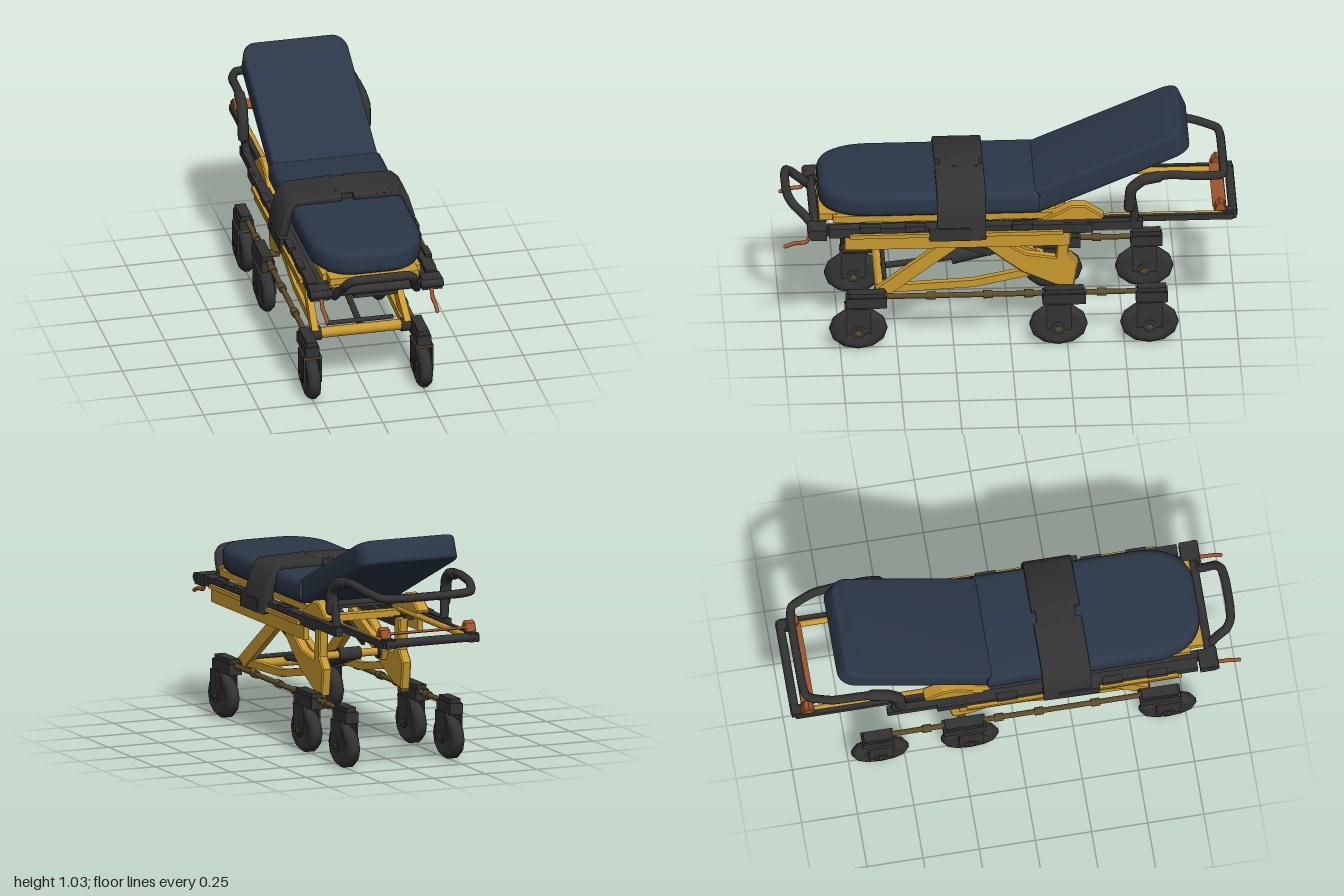
import * as THREE from 'three';
import { toCreasedNormals } from 'three/addons/utils/BufferGeometryUtils.js';

const mat = (name, color) => Object.assign(new THREE.MeshStandardMaterial({ color }), { name });
const V = (p) => new THREE.Vector3(...p);

export function createModel() {
  const navy = mat('navy upholstery', 0x2b3748), dark = mat('dark plastic', 0x333333);
  const yellow = mat('yellow frame', 0xc8992e), orange = mat('rust lever', 0xa0562c);
  const bronze = mat('bronze rail', 0x5e4c28);
  const model = new THREE.Group();
  model.name = 'stretcher';

  const add = (name, geo, m, parent = model) => {
    const mesh = new THREE.Mesh(geo, m);
    mesh.name = name;
    parent.add(mesh);
    return mesh;
  };
  // Box from its centre and size
  const box = (name, m, c, s, parent) => add(name, new THREE.BoxGeometry(...s).translate(...c), m, parent);
  // Round rod between two points
  const rod = (name, m, a, b, r, parent) => {
    const A = V(a), B = V(b), d = B.clone().sub(A);
    const geo = new THREE.CylinderGeometry(r, r, d.length(), 12);
    geo.applyQuaternion(new THREE.Quaternion().setFromUnitVectors(V([0, 1, 0]), d.normalize()));
    return add(name, geo.translate(...A.add(B).multiplyScalar(0.5).toArray()), m, parent);
  };
  // Rectangular beam between two points
  const beam = (name, m, a, b, w, h) => {
    const A = V(a), B = V(b);
    const geo = new THREE.BoxGeometry(w, h, A.distanceTo(B));
    geo.applyMatrix4(new THREE.Matrix4().lookAt(A, B, V([0, 1, 0])));
    return add(name, geo.translate(...A.add(B).multiplyScalar(0.5).toArray()), m);
  };
  // Smooth bent tube with closed ends
  const tube = (name, m, pts, r) => {
    const curve = new THREE.CatmullRomCurve3(pts.map(V), false, 'catmullrom', 0.25);
    add(name, new THREE.TubeGeometry(curve, pts.length * 8, r, 10), m);
    for (const p of [pts[0], pts[pts.length - 1]])
      add(name + ' cap', new THREE.SphereGeometry(r, 10, 6).translate(...p), m);
  };
  // Side profile of (z, y) points, extruded across x
  const sideProfile = (name, m, pts, x, w, bevel = 0.006) => {
    const shape = new THREE.Shape(pts.map((p) => new THREE.Vector2(...p)));
    const geo = new THREE.ExtrudeGeometry(shape, { depth: w - 2 * bevel, bevelSize: bevel, bevelThickness: bevel, bevelOffset: -bevel, bevelSegments: 1 });
    add(name, geo.rotateY(-Math.PI / 2).translate(x + w / 2 - bevel, 0, 0), m);
  };
  const both = (fn) => [-1, 1].forEach(fn);

  // Cushion: plan with rounded far corners, lying flat with its far end along -z
  const cushion = (hw, len, rx, ry, thick, b) => {
    const w = hw - b, l = len - b, s = new THREE.Shape();
    s.moveTo(-w, b);
    s.lineTo(w, b);
    s.lineTo(w, l - ry);
    s.bezierCurveTo(w, l - ry * 0.4, w - rx * 0.4, l, w - rx, l);
    s.lineTo(-w + rx, l);
    s.bezierCurveTo(-w + rx * 0.4, l, -w, l - ry * 0.4, -w, l - ry);
    const geo = new THREE.ExtrudeGeometry(s, { depth: thick - 2 * b, bevelSize: b, bevelThickness: b, bevelSegments: 4, curveSegments: 10 });
    return toCreasedNormals(geo.translate(0, 0, b).rotateX(-Math.PI / 2), 0.7);
  };
  const seat = cushion(0.252, 0.97, 0.14, 0.2, 0.115, 0.035);
  add('seatCushion', seat.rotateY(Math.PI).translate(0, 0.645, -0.13), navy);
  const back = add('backCushion', cushion(0.236, 0.735, 0.05, 0.07, 0.11, 0.016), navy);
  back.rotation.x = 0.41;
  back.position.set(0, 0.643, -0.12);

  // Belt: two padded halves, draped over the cushion and joined by a buckle
  const strap = (name, pts, z0, z1) => {
    const s = new THREE.Shape(pts.map((p) => new THREE.Vector2(...p)));
    const geo = new THREE.ExtrudeGeometry(s, { depth: z1 - z0 - 0.016, bevelSize: 0.004, bevelThickness: 0.008, bevelSegments: 2 });
    add(name, toCreasedNormals(geo.translate(0, 0, z0 + 0.008), 0.8), dark);
  };
  both((s) => {
    const pts = [[0.03, 0.762], [0.22, 0.76], [0.25, 0.74], [0.262, 0.68], [0.285, 0.57], [0.31, 0.565], [0.3, 0.65], [0.272, 0.745], [0.24, 0.775], [0.03, 0.783]];
    const side = pts.map(([x, y]) => [s * x, y]);
    strap('beltPad', s > 0 ? side : side.reverse(), 0.11, 0.325);
    box('beltTongue', dark, [s * 0.3, 0.59, 0.27], [0.03, 0.06, 0.18]);
  });
  box('beltBuckle', dark, [0, 0.774, 0.215], [0.085, 0.026, 0.175]);

  // Bed frame
  box('deck', dark, [0, 0.628, 0.28], [0.36, 0.016, 0.9]);
  box('frontDeckEdge', yellow, [0, 0.632, 0.8], [0.4, 0.03, 0.08]);
  both((s) => {
    box('deckRail', yellow, [s * 0.207, 0.628, 0.27], [0.03, 0.03, 1.02]);
    box('sideRail', dark, [s * 0.268, 0.597, 0.22], [0.05, 0.044, 1.16]);
    box('innerRail', dark, [s * 0.222, 0.58, 0.28], [0.04, 0.04, 1.08]);
    box('sideBeam', yellow, [s * 0.275, 0.542, 0.235], [0.024, 0.062, 0.99]);
    box('sideTrim', yellow, [s * 0.3, 0.585, 0.24], [0.016, 0.018, 0.94]);
    box('slideTrack', dark, [s * 0.185, 0.552, 0.25], [0.03, 0.045, 0.95]);
    for (const z of [0.62, 0.42, -0.05]) box('railClamp', dark, [s * 0.285, 0.615, z], [0.03, 0.028, 0.09]);
    // Hinge bracket beside the backrest
    sideProfile('hingeBracket', yellow, [[-0.12, 0.6], [-0.2, 0.65], [-0.27, 0.688], [-0.33, 0.685], [-0.41, 0.63], [-0.4, 0.605], [-0.24, 0.585]], s * 0.222, 0.06);
    // Rear extension
    rod('rearRail', yellow, [s * 0.2, 0.605, -0.2], [s * 0.2, 0.605, -0.97], 0.014);
    box('rearRailCover', dark, [s * 0.222, 0.606, -0.6], [0.02, 0.028, 0.76]);
    box('rearCorner', dark, [s * 0.2, 0.612, -0.965], [0.045, 0.04, 0.06]);
    sideProfile('releaseCatch', orange, [[-0.895, 0.632], [-0.905, 0.662], [-0.92, 0.678], [-0.94, 0.668], [-0.952, 0.632]], s * 0.205, 0.05, 0.004);
    // Front corner, grip and release lever
    box('frontCorner', dark, [s * 0.253, 0.592, 0.845], [0.09, 0.05, 0.07]);
    rod('frontGrip', dark, [s * 0.2, 0.597, 0.875], [s * 0.3, 0.597, 0.875], 0.02);
    tube('releaseLever', orange, [[s * 0.248, 0.58, 0.87], [s * 0.248, 0.535, 0.9], [s * 0.248, 0.53, 0.95], [s * 0.248, 0.515, 0.99]], 0.009);
    // Swing armrest pad
    tube('armrestPad', dark, [[s * 0.275, 0.69, -0.52], [s * 0.276, 0.78, -0.53], [s * 0.268, 0.82, -0.58], [s * 0.262, 0.832, -0.65]], 0.025);
    box('armrestMount', dark, [s * 0.262, 0.6, -0.4], [0.034, 0.04, 0.36]);
  });
  rod('frontBar', dark, [-0.22, 0.594, 0.86], [0.22, 0.594, 0.86], 0.02);
  box('frontLatch', dark, [0, 0.568, 0.83], [0.2, 0.03, 0.06]);
  box('frontCrossbeam', yellow, [0, 0.557, 0.74], [0.36, 0.04, 0.05]);
  for (const z of [0.42, 0.16, -0.18]) box('crossMember', z > 0 ? dark : yellow, [0, 0.585, z], [0.44, 0.03, 0.05]);
  rod('rearBar', dark, [-0.215, 0.613, -0.98], [0.215, 0.613, -0.98], 0.02);
  const tray = box('rearRelease', orange, [0, 0, 0], [0.38, 0.01, 0.06]);
  tray.position.set(0, 0.645, -0.92);
  tray.rotation.x = 0.25;

  // Front bumper handle and rear push handle
  const arch = (pts) => [...pts.map(([x, y, z]) => [-x, y, z]), ...pts.slice().reverse()];
  tube('frontHandle', dark, arch([[0.185, 0.575, 0.86], [0.165, 0.62, 0.9], [0.15, 0.67, 0.95], [0.12, 0.695, 0.972], [0.06, 0.7, 0.98]]), 0.02);
  tube('rearHandle', dark, arch([[0.255, 0.6, -0.3], [0.255, 0.602, -0.51], [0.26, 0.63, -0.545], [0.268, 0.76, -0.53], [0.264, 0.82, -0.58],
    [0.262, 0.84, -0.7], [0.255, 0.828, -0.82], [0.215, 0.808, -0.925], [0.14, 0.803, -0.94]]), 0.019);

  // Folding legs
  both((s) => {
    beam('frontLeg', yellow, [s * 0.208, 0.25, 0.575], [s * 0.185, 0.555, 0.16], 0.03, 0.06);
    beam('innerLeg', yellow, [s * 0.158, 0.53, 0.22], [s * 0.158, 0.39, -0.14], 0.03, 0.05);
    sideProfile('rearLeg', yellow, [[0.2, 0.55], [0.12, 0.55], [-0.07, 0.43], [-0.2, 0.41], [-0.215, 0.57], [-0.265, 0.57], [-0.257, 0.43],
      [-0.3, 0.38], [-0.28, 0.26], [-0.2, 0.27], [-0.05, 0.34], [0.04, 0.41]], s * 0.192, 0.045);
    beam('lowerArm', yellow, [s * 0.195, 0.265, 0.56], [s * 0.195, 0.285, 0.15], 0.028, 0.034);
    beam('lowerArmEnd', yellow, [s * 0.195, 0.285, 0.16], [s * 0.19, 0.34, -0.12], 0.028, 0.034);
    beam('slideLink', dark, [s * 0.155, 0.52, 0.4], [s * 0.155, 0.41, 0.08], 0.016, 0.032);
    rod('pivotCap', dark, [s * 0.135, 0.4, -0.1], [s * 0.158, 0.4, -0.1], 0.032);
    rod('legPivot', dark, [s * 0.18, 0.25, 0.57], [s * 0.222, 0.25, 0.57], 0.03);
    rod('rearPivot', bronze, [s * 0.18, 0.25, -0.24], [s * 0.245, 0.25, -0.24], 0.018);
    // Base rail with collars
    rod('baseRail', bronze, [s * 0.245, 0.25, 0.58], [s * 0.245, 0.25, -0.62], 0.012);
    for (const z of [0.35, 0.1, -0.08, -0.4]) rod('railCollar', bronze, [s * 0.245, 0.25, z - 0.02], [s * 0.245, 0.25, z + 0.02], 0.018);
  });
  rod('frontAxleTube', yellow, [-0.19, 0.252, 0.57], [0.19, 0.252, 0.57], 0.024);
  rod('frontAxleTrim', dark, [-0.15, 0.285, 0.55], [0.15, 0.285, 0.55], 0.01);
  rod('middleTube', yellow, [-0.18, 0.4, -0.1], [0.18, 0.4, -0.1], 0.018);
  rod('actuatorHead', dark, [-0.052, 0.4, -0.1], [0.052, 0.4, -0.1], 0.03);
  rod('actuator', dark, [0, 0.305, 0.25], [0, 0.395, -0.1], 0.034);
  rod('actuatorPiston', dark, [0, 0.268, 0.56], [0, 0.305, 0.25], 0.014);

  // Casters: rounded tyre with a solid hub, fork and housing
  const tyreProfile = [[0, -0.02], [0.04, -0.02], [0.07, -0.03], [0.09, -0.024], [0.1, -0.009], [0.1, 0.009], [0.09, 0.024], [0.07, 0.03], [0.04, 0.02], [0, 0.02]];
  const tyre = new THREE.LatheGeometry(tyreProfile.map((p) => new THREE.Vector2(...p)), 12);
  tyre.rotateZ(Math.PI / 2).scale(1, 1, 1.28);
  const caster = (s, z, housingZ, depth) => {
    const g = new THREE.Group();
    g.name = 'caster';
    g.position.set(s * 0.252, 0, z);
    add('tyre', tyre, dark, g).position.y = 0.1;
    rod('axle', bronze, [-0.048, 0.1, 0], [0.048, 0.1, 0], 0.013, g);
    both((k) => {
      box('forkPlate', dark, [k * 0.037, 0.152, 0], [0.008, 0.125, 0.11], g);
      rod('axleNut', dark, [k * 0.034, 0.1, 0], [k * 0.043, 0.1, 0], 0.03, g);
    });
    box('forkCrown', bronze, [0, 0.209, 0], [0.08, 0.01, 0.12], g);
    box('housing', dark, [0, 0.235, housingZ - z], [0.062, 0.05, depth], g);
    box('housingTop', dark, [0, 0.268, housingZ - z], [0.048, 0.024, depth * 0.9], g);
    model.add(g);
  };
  both((s) => {
    caster(s, 0.67, 0.635, 0.18);
    caster(s, -0.21, -0.235, 0.19);
    caster(s, -0.61, -0.62, 0.14);
  });
  return model;
}
